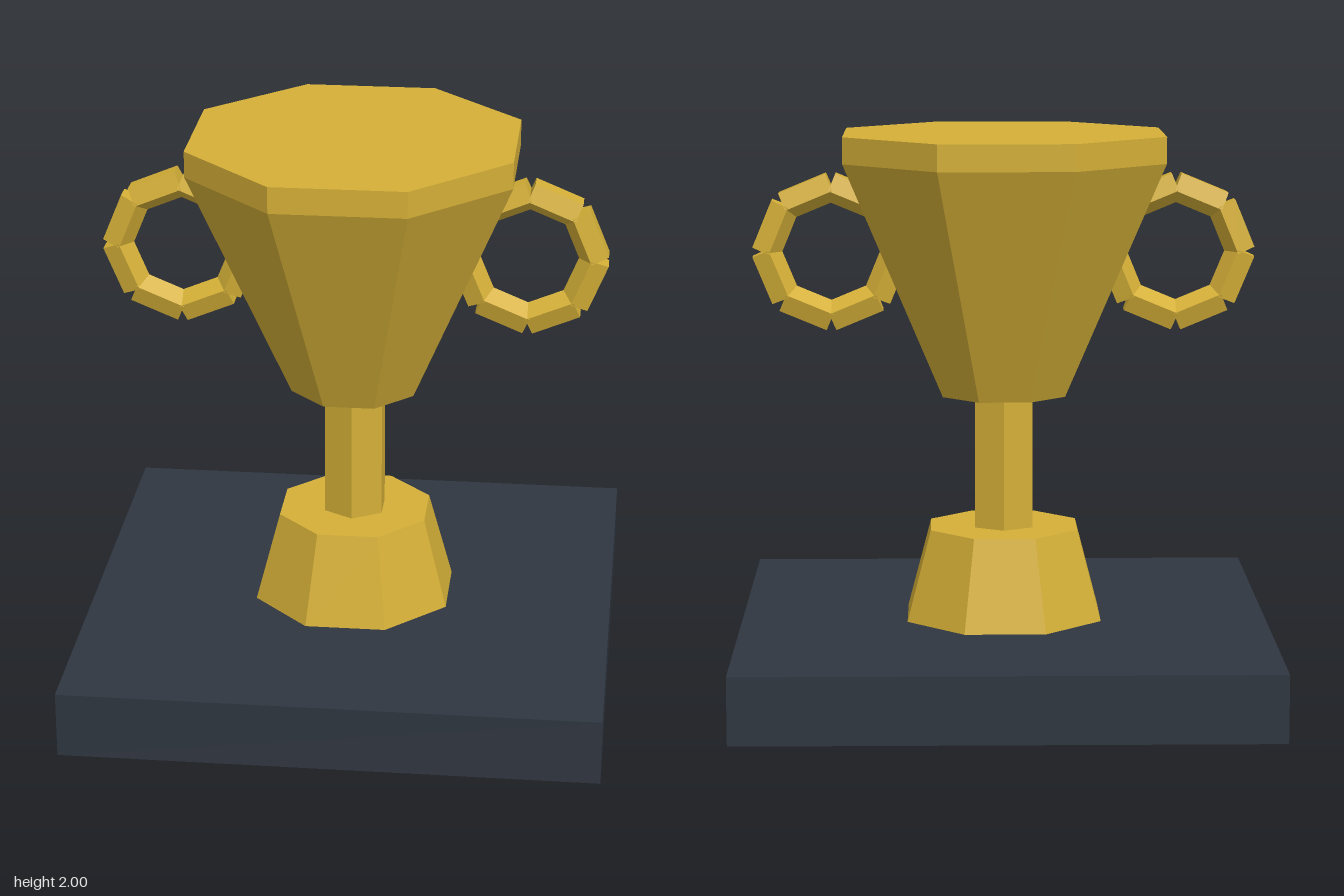
import * as THREE from 'three';

export function createModel() {
  const gold = new THREE.MeshStandardMaterial({ name: 'gold', color: 0xd4af37, flatShading: true });
  const slate = new THREE.MeshStandardMaterial({ name: 'dark slate', color: 0x2f3640, flatShading: true });
  const trophy = new THREE.Group();
  trophy.name = 'trophy';

  const add = (name, geometry, material, parent = trophy) => {
    const mesh = new THREE.Mesh(geometry, material);
    mesh.name = name;
    parent.add(mesh);
    return mesh;
  };

  // Octagonal frustum with a flat side to the front; sizes are centre-to-flat
  const octagon = (top, bottom, y0, y1) => {
    const k = 1 / Math.cos(Math.PI / 8);
    return new THREE.CylinderGeometry(top * k, bottom * k, y1 - y0, 8, 1, false, Math.PI / 8)
      .translate(0, (y0 + y1) / 2, 0);
  };

  // Plinth, foot, stem and cup
  add('plinth', new THREE.BoxGeometry(1.9, 0.24, 1.9).translate(0, 0.12, 0), slate);
  add('foot', octagon(0.265, 0.35, 0.24, 0.57), gold);
  add('stem', new THREE.CylinderGeometry(0.12, 0.12, 0.485, 6).translate(0, 0.8125, 0), gold);
  add('bowl', octagon(0.57, 0.22, 1.055, 1.905), gold);
  add('rim', octagon(0.57, 0.57, 1.905, 2), gold);

  // Ring handles: eight straight five-sided bars, with an edge pointing inward
  const ringRadius = 0.22;
  for (const side of [-1, 1]) {
    const handle = new THREE.Group();
    handle.name = side > 0 ? 'leftHandle' : 'rightHandle';
    handle.position.set(side * 0.62, 1.573, 0);
    for (let i = 0; i < 8; i++) {
      const bar = new THREE.CylinderGeometry(0.058, 0.058, 0.183, 5)
        .rotateY(-Math.PI / 2)
        .translate(ringRadius, 0, 0)
        .rotateZ((i + 0.5) * Math.PI / 4);
      add('handleBar', bar, gold, handle);
    }
    trophy.add(handle);
  }
  return trophy;
}
